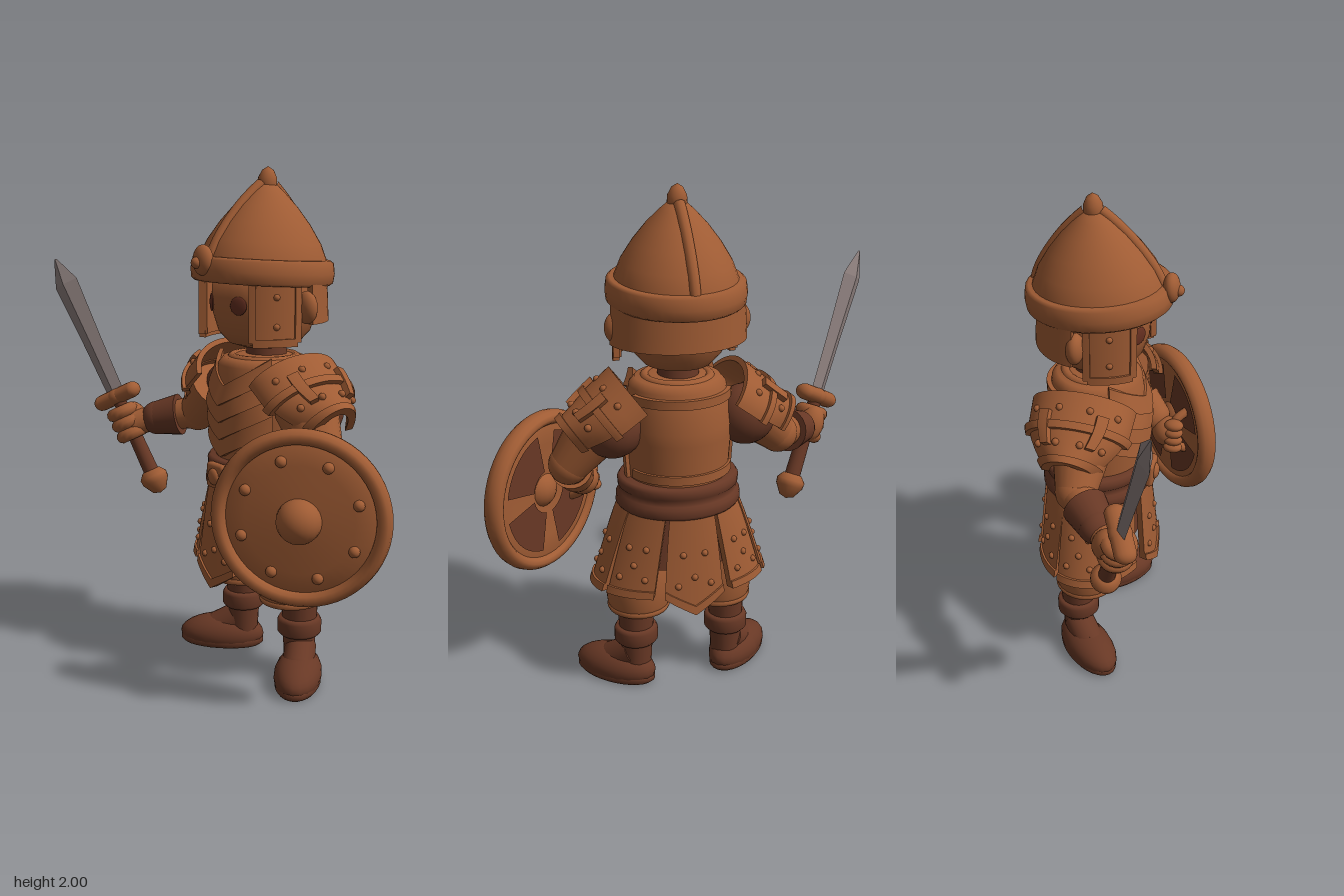
import * as THREE from 'three';
import { RoundedBoxGeometry } from 'three/addons/geometries/RoundedBoxGeometry.js';

const mat = (name, color) => Object.assign(new THREE.MeshStandardMaterial({ color }), { name });
const V = (x, y, z) => new THREE.Vector3(x, y, z);

export function createModel() {
  const brown = mat('brown', 0xa05c34);
  const dark = mat('dark leather', 0x683825);
  const eyeMat = mat('eye brown', 0x652f20);
  const steel = mat('steel', 0x8e807e);
  const root = new THREE.Group();
  root.name = 'soldier';

  // ---- helpers ----
  const add = (parent, name, geo, m, x = 0, y = 0, z = 0) => {
    const mesh = new THREE.Mesh(geo, m);
    mesh.name = name;
    mesh.position.set(x, y, z);
    parent.add(mesh);
    return mesh;
  };
  const group = (parent, name, x = 0, y = 0, z = 0) => {
    const g = new THREE.Group();
    g.name = name;
    g.position.set(x, y, z);
    parent.add(g);
    return g;
  };
  const lathe = (pts, seg = 40) => new THREE.LatheGeometry(pts.map(p => new THREE.Vector2(p[0], p[1])), seg);
  const ball = (r, sx = 1, sy = 1, sz = 1) => new THREE.SphereGeometry(r, 20, 14).scale(sx, sy, sz);
  // Bent slab: f(u, v, w) maps the unit box, w runs outward
  const bend = (nx, ny, f) => {
    const g = new THREE.BoxGeometry(1, 1, 1, nx, ny, 1), p = g.attributes.position;
    for (let i = 0; i < p.count; i++) p.setXYZ(i, ...f(p.getX(i) + 0.5, p.getY(i) + 0.5, p.getZ(i) + 0.5));
    g.computeVertexNormals();
    return g;
  };
  // Tapered limb with a rounded end
  const limb = (parent, name, a, b, r0, r1, m) => {
    const d = b.clone().sub(a);
    const c = add(parent, name, new THREE.CylinderGeometry(r1, r0, d.length(), 20), m);
    c.position.copy(a).addScaledVector(d, 0.5);
    c.quaternion.setFromUnitVectors(V(0, 1, 0), d.normalize());
    add(parent, name + 'Joint', ball(r1), m, b.x, b.y, b.z);
  };
  const lerp = THREE.MathUtils.lerp;

  const body = group(root, 'body', 0.087, 0, -0.09);

  // ---- head ----
  const head = group(body, 'head');
  add(head, 'face', lathe([[0, 1.315], [0.08, 1.318], [0.13, 1.335], [0.17, 1.38], [0.19, 1.45], [0.195, 1.52], [0.19, 1.62], [0, 1.64]])
    .scale(1, 1, 1.08), brown);
  add(head, 'neck', new THREE.CylinderGeometry(0.075, 0.085, 0.12, 24), dark, 0, 1.29, -0.01);
  for (const s of [-1, 1]) {
    const eye = add(head, 'eye', ball(0.035, 1, 1, 0.2), eyeMat, s * 0.088, 1.492, 0.188);
    eye.rotation.y = s * 0.47;
    add(head, 'ear', ball(0.062, 0.8, 1, 0.55), brown, s * 0.235, 1.487, -0.02);
    // cheek guard with a raised border and rivets
    const guard = (name, t0, t1, y0, y1, r) => add(head, name, bend(8, 4, (u, v, w) => {
      const a = s * lerp(t0, t1, s > 0 ? u : 1 - u), R = r + w * 0.025;
      return [Math.sin(a) * (0.212 + R), lerp(y0, y1, v), Math.cos(a) * (0.235 + R)];
    }), brown);
    guard('cheekGuard', 0.76, 1.5, 1.36, 1.6, 0);
    guard('cheekGuardFrontEdge', 0.74, 0.84, 1.36, 1.6, 0.008);
    guard('cheekGuardBackEdge', 1.43, 1.53, 1.36, 1.6, 0.008);
    guard('cheekGuardLowerEdge', 0.8, 1.47, 1.345, 1.375, 0.008);
    for (const y of [1.42, 1.53])
      add(head, 'cheekRivet', ball(0.013), brown, s * Math.sin(1.15) * 0.234, y, Math.cos(1.15) * 0.257);
  }
  add(head, 'neckGuard', bend(24, 3, (u, v, w) => {
    const a = lerp(1.68, 4.6, u), R = w * 0.025 + (1 - v) * 0.008;
    return [Math.sin(a) * (0.235 + R), lerp(1.425, 1.6, v), Math.cos(a) * (0.2 + R)];
  }), brown);

  // ---- helmet ----
  const helmet = group(body, 'helmet', 0, 1.61, 0.01);
  helmet.rotation.x = -0.06;
  const dome = [[0.24, 0], [0.232, 0.05], [0.208, 0.11], [0.165, 0.18], [0.115, 0.245], [0.067, 0.295], [0.034, 0.325]];
  add(helmet, 'dome', lathe([...dome, [0, 0.335]]).scale(1, 1, 1.08), brown);
  add(helmet, 'rim', lathe([[0.16, -0.035], [0.25, -0.045], [0.262, -0.035], [0.266, 0], [0.26, 0.04], [0.248, 0.05], [0.2, 0.05]])
    .scale(1, 1, 1.07), brown);
  add(helmet, 'finial', lathe([[0.03, 0.29], [0.038, 0.32], [0.036, 0.35], [0.022, 0.378], [0, 0.392]], 20), brown);
  for (const s of [-1, 1]) {
    const path = new THREE.CatmullRomCurve3(dome.map(p => V(0, p[1], s * (p[0] * 1.08 - 0.008))));
    add(helmet, 'crestRidge', new THREE.TubeGeometry(path, 24, 0.022, 10), brown);
  }
  add(helmet, 'frontBoss', ball(0.05, 1, 1.15, 0.65), brown, 0, 0.035, 0.28);
  add(helmet, 'frontBossCap', ball(0.022), brown, 0, 0.025, 0.307);

  // ---- torso ----
  const torso = group(body, 'torso');
  const tr = y => y < 1.1 ? lerp(0.195, 0.212, (y - 0.85) / 0.25) : lerp(0.212, 0.188, (y - 1.1) / 0.15);
  add(torso, 'cuirass', lathe([[0.19, 0.78], ...[0.85, 0.95, 1.05, 1.1, 1.17, 1.25].map(y => [tr(y), y]), [0.165, 1.278], [0.08, 1.29], [0, 1.29]])
    .scale(1, 1, 0.95), brown);
  add(torso, 'collar', new THREE.TorusGeometry(0.125, 0.02, 10, 36).rotateX(Math.PI / 2), brown, 0, 1.272, 0);
  // overlapping chevron scales on the chest
  for (let i = 0; i < 4; i++)
    add(torso, 'chestChevron', bend(24, 2, (u, v, w) => {
      const a = lerp(-1.05, 1.05, u);
      const y = 0.9 + i * 0.068 + 0.11 * Math.abs(a) + v * 0.075;
      const R = tr(Math.min(y, 1.25)) - 0.01 + w * (0.036 - v * 0.018);
      return [Math.sin(a) * R, y, Math.cos(a) * R * 0.95];
    }), brown);
  // raised hems on the back plate
  for (const y of [0.9, 1.2])
    add(torso, 'backBand', bend(24, 1, (u, v, w) => {
      const a = lerp(1.9, 4.38, u), R = tr(y) - 0.01 + w * 0.022;
      return [Math.sin(a) * R, y + v * 0.035, Math.cos(a) * R * 0.96];
    }), brown);
  for (const s of [-1, 1])
    add(torso, 'sideSeam', bend(2, 8, (u, v, w) => {
      const a = s * 1.6 + (u - 0.5) * 0.2, y = lerp(0.88, 1.15, v), R = tr(y) - 0.01 + w * 0.025;
      return [Math.sin(a) * R, y, Math.cos(a) * R * 0.95];
    }), brown);

  // ---- belt ----
  const belt = group(body, 'belt');
  add(belt, 'beltBand', lathe([[0.2, 0.76], [0.238, 0.762], [0.248, 0.775], [0.246, 0.805], [0.232, 0.815], [0.228, 0.835],
    [0.238, 0.845], [0.24, 0.87], [0.23, 0.885], [0.18, 0.89]]).scale(1, 1, 0.9), dark);
  add(belt, 'buckle', new RoundedBoxGeometry(0.112, 0.102, 0.036, 3, 0.015), brown, 0, 0.825, 0.225);
  add(belt, 'buckleStud', ball(0.033, 1, 1, 0.5), brown, 0, 0.825, 0.243);

  // ---- skirt ----
  const skirt = group(body, 'skirt');
  const skirtPoint = (a, t, out) => { // t: 0 at the waist, 1 at the hem
    const rx = lerp(0.208, 0.325, t ** 0.9) + out, rz = lerp(0.18, 0.21, t) + out;
    return [Math.sin(a) * rx, lerp(0.78, 0.44, t), Math.cos(a) * rz];
  };
  add(skirt, 'underSkirt', bend(48, 4, (u, v, w) =>
    skirtPoint(u * Math.PI * 2, (1 - v) * 0.7, -0.03 + w * 0.015)), dark);
  const panel = (mid, half, end, point, out) => {
    const at = (u, t, o) => {
      const k = 2 * u - 1, a = mid + k * half * (1.1 - 0.1 * t);
      return skirtPoint(a, t * (end + point * (1 - Math.abs(k))), out + o);
    };
    add(skirt, 'skirtPanel', bend(10, 8, (u, v, w) => at(u, 1 - v, w * 0.026)), brown);
    // raised hem and studs
    add(skirt, 'panelHem', bend(10, 1, (u, v, w) => at(u, 1 - v * 0.09, w * 0.034)), brown);
    for (const [u, t] of [[0.22, 0.78], [0.78, 0.78], [0.3, 0.42], [0.7, 0.42], [0.5, 0.62]])
      add(skirt, 'panelStud', ball(0.013), brown, ...at(u, t, 0.026));
  };
  panel(0, 0.34, 0.98, 0.22, 0.012);
  panel(Math.PI, 0.34, 0.98, 0.22, 0.006);
  for (const s of [-1, 1]) {
    panel(s * 0.82, 0.31, 0.99, 0, 0);
    panel(s * 1.57, 0.37, 0.99, 0, 0.004);
    panel(s * 2.34, 0.33, 0.99, 0, 0);
  }

  // ---- legs, boots and shoulder armour, both sides ----
  for (const s of [-1, 1]) {
    const leg = group(body, s > 0 ? 'leftLeg' : 'rightLeg');
    add(leg, 'trouserLeg', lathe([[0, 0.305], [0.09, 0.305], [0.115, 0.315], [0.126, 0.35], [0.132, 0.42], [0.128, 0.52], [0.1, 0.64], [0, 0.66]], 28),
      brown, s * 0.17, 0, -0.01);
    add(leg, 'trouserCuff', new THREE.TorusGeometry(0.11, 0.017, 8, 28).rotateX(Math.PI / 2), brown, s * 0.17, 0.33, -0.01);
    add(leg, 'bootShaft', new THREE.CylinderGeometry(0.075, 0.06, 0.28, 20), dark, s * 0.19, 0.21, -0.04);
    add(leg, 'bootCuff', lathe([[0.05, 0.175], [0.078, 0.178], [0.088, 0.19], [0.088, 0.235], [0.08, 0.25], [0.05, 0.252]], 24), dark, s * 0.19, 0, -0.04);
    const foot = group(leg, 'boot', s * 0.262, 0, 0.022);
    foot.rotation.y = s * Math.PI / 4;
    const g = ball(1), p = g.attributes.position;
    for (let i = 0; i < p.count; i++) { // flat sole and a full toe
      const z = p.getZ(i), y = Math.max(p.getY(i), -0.55);
      p.setXYZ(i, p.getX(i) * 0.094, (y + 0.55) * (0.082 - 0.006 * z), z * 0.18);
    }
    g.computeVertexNormals();
    add(foot, 'bootFoot', g, dark);
    add(foot, 'bootSole', lathe([[0, 0], [0.92, 0], [1, 0.012], [1, 0.03], [0.94, 0.04]], 28).scale(0.09, 1, 0.178), dark);
    limb(foot, 'bootAnkle', V(0, 0.13, -0.09), V(0, 0.07, 0.01), 0.062, 0.065, dark);

    // layered pauldron arching over the shoulder
    const turn = group(body, s > 0 ? 'leftPauldron' : 'rightPauldron', s * 0.277, 1.11, -0.005);
    turn.rotation.y = s > 0 ? 0 : Math.PI;
    const pad = group(turn, 'pauldronPlates');
    pad.rotation.z = -0.64;
    // x runs outward along the shoulder; the plates narrow towards the arm
    const padPoint = (x, a, out) => {
      const r = 0.138 - 0.06 * x + out;
      return [x, r * Math.cos(a), -(r + 0.05 - 1.2 * Math.max(0, x + 0.02) ** 1.4) * Math.sin(a)];
    };
    const band = (name, x0, x1, out, thick, ang) => add(pad, name, bend(4, 24, (u, v, w) =>
      padPoint(lerp(x0, x1, u), (v - 0.5) * 2 * ang, out + w * thick)), brown);
    band('pauldronInnerPlate', -0.14, 0.0, -0.012, 0.022, 1.5);
    band('pauldronInnerLip', -0.02, 0.01, -0.01, 0.034, 1.52);
    band('pauldronOuterPlate', -0.01, 0.135, -0.016, 0.022, 1.42);
    band('pauldronOuterLip', 0.112, 0.14, -0.014, 0.034, 1.44);
    for (const a of [-0.9, -0.3, 0.3, 0.9])
      for (const x of [-0.075, 0.06])
        add(pad, 'pauldronRivet', ball(0.014), brown, ...padPoint(x, a, 0.008));
    for (const a of [-0.55, 0.55]) // short straps joining the plates
      add(pad, 'pauldronStrap', bend(4, 3, (u, v, w) =>
        padPoint(lerp(-0.06, 0.07, u), a + (v - 0.5) * 0.22, w * 0.03)), brown);
    // sleeve lining, dark towards the back and underside
    add(body, 'shoulderSleeve', ball(0.115, 1.05, 1.05, 1), dark, s * 0.265, 1.105, -0.035);
  }

  // ---- right arm and sword ----
  const rightArm = group(root, 'rightArm');
  const shoulderR = V(-0.2, 1.12, -0.07), elbowR = V(-0.34, 0.985, -0.06), wristR = V(-0.49, 0.945, 0.07);
  limb(rightArm, 'upperArm', shoulderR, elbowR, 0.122, 0.08, brown);
  limb(rightArm, 'forearm', elbowR, wristR, 0.073, 0.05, brown);
  limb(rightArm, 'bracer', elbowR.clone().lerp(wristR, 0.4), elbowR.clone().lerp(wristR, 0.9), 0.088, 0.072, dark);
  limb(rightArm, 'wrist', wristR, V(-0.54, 0.925, 0.125), 0.05, 0.058, brown);

  const sword = group(root, 'sword', -0.605, 1.035, 0.18);
  const up = V(-0.24, 0.58, 0.155).normalize();
  const cross = V(0.78, 0.4, -0.42);
  const side = cross.clone().addScaledVector(up, -cross.dot(up)).normalize();
  sword.quaternion.setFromRotationMatrix(new THREE.Matrix4().makeBasis(side, up, side.clone().cross(up)));
  const blade = lathe([[0.042, 0], [0.048, 0.25], [0.06, 0.53], [0.008, 0.64], [0, 0.645]], 4).scale(1, 1, 0.42).toNonIndexed();
  blade.computeVertexNormals();
  add(sword, 'blade', blade, steel);
  add(sword, 'crossGuard', new THREE.CapsuleGeometry(0.034, 0.165, 6, 16).rotateZ(Math.PI / 2).scale(1, 1, 1.25), brown);
  add(sword, 'guardCollar', ball(0.045, 1.1, 0.8, 1), brown);
  add(sword, 'grip', new THREE.CylinderGeometry(0.028, 0.034, 0.36, 16), dark, 0, -0.2, 0);
  add(sword, 'pommel', lathe([[0, -0.455], [0.03, -0.445], [0.058, -0.4], [0.06, -0.375], [0.04, -0.35], [0, -0.34]], 20), brown);
  for (let i = 0; i < 3; i++)
    add(sword, 'finger', new THREE.TorusGeometry(0.042, 0.028, 10, 20).rotateX(Math.PI / 2), brown, -0.006, -0.07 - i * 0.05, 0.005);
  add(sword, 'palm', ball(0.06, 0.9, 1.3, 0.9), brown, 0.02, -0.12, -0.03);

  // ---- left arm ----
  const leftArm = group(root, 'leftArm');
  const shoulderL = V(0.375, 1.12, -0.07), elbowL = V(0.51, 0.94, -0.045), wristL = V(0.455, 0.83, 0.08);
  limb(leftArm, 'upperArm', shoulderL, elbowL, 0.122, 0.08, brown);
  limb(leftArm, 'forearm', elbowL, wristL, 0.073, 0.05, brown);
  limb(leftArm, 'bracer', elbowL.clone().lerp(wristL, 0.35), elbowL.clone().lerp(wristL, 0.85), 0.082, 0.07, brown);
  add(leftArm, 'palm', ball(0.066), brown, 0.425, 0.8, 0.13);
  for (let i = 0; i < 4; i++)
    add(leftArm, 'finger', ball(0.026, 1.3, 0.9, 1.6), brown, 0.375 + i * 0.006, 0.755 + i * 0.033, 0.165);

  // ---- shield, its face along local +z ----
  const shield = group(root, 'shield', 0.592, 0.775, 0.125);
  shield.rotation.y = 0.72;
  add(shield, 'shieldFace', lathe([[0, -0.015], [0.2, -0.022], [0.3, -0.034], [0.3, 0], [0.2, 0.022], [0, 0.03]], 48).rotateX(Math.PI / 2), brown);
  add(shield, 'shieldRim', new THREE.TorusGeometry(0.3, 0.03, 12, 56).scale(1, 1, 1.4), brown, 0, 0, -0.008);
  add(shield, 'boss', ball(0.083, 1, 1, 1), brown, 0, 0, 0.03);
  for (let i = 0; i < 8; i++) {
    const a = (i + 0.4) * Math.PI / 4;
    add(shield, 'shieldRivet', ball(0.021), brown, Math.cos(a) * 0.222, Math.sin(a) * 0.222, 0.02);
  }
  // dark lining and hand strap on the back
  for (let i = 0; i < 4; i++) {
    const lining = add(shield, 'shieldLining', new THREE.RingGeometry(0.09, 0.25, 24, 1, i * Math.PI / 2 + 0.2, 1.17), dark, 0, 0, -0.033);
    lining.rotation.y = Math.PI;
  }
  const strap = new THREE.CatmullRomCurve3([V(-0.15, 0.12, -0.015), V(-0.15, 0.08, -0.08), V(-0.15, -0.04, -0.08), V(-0.15, -0.08, -0.015)]);
  add(shield, 'shieldStrap', new THREE.TubeGeometry(strap, 20, 0.02, 10), brown);

  return root;
}
